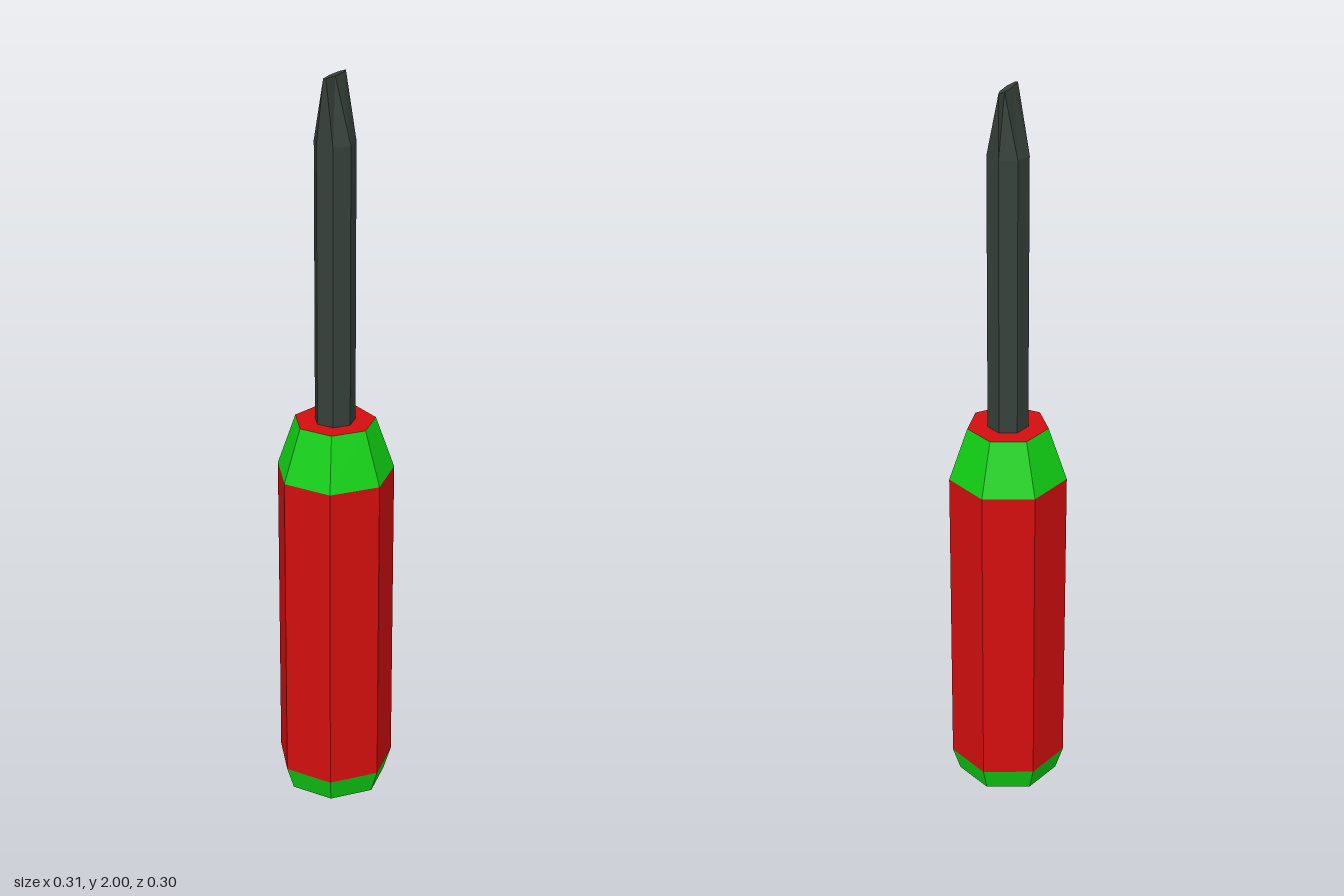
import * as THREE from 'three';

const SIDES = 7;

export function createModel() {
  const group = new THREE.Group();
  group.name = 'screwdriver';
  const material = (name, color) => {
    const m = new THREE.MeshStandardMaterial({ color, flatShading: true });
    m.name = name;
    return m;
  };
  const red = material('red grip', 0xd40e0e);
  const green = material('green trim', 0x10d014);
  const steel = material('dark steel', 0x36403a);

  const add = (name, geometry, mat) => {
    const mesh = new THREE.Mesh(geometry, mat);
    mesh.name = name;
    mesh.position.z = 0.007; // centres the odd-sided outline in depth
    group.add(mesh);
  };
  // Seven-sided section between two heights, with a corner at the back
  const section = (rBottom, rTop, y0, y1, open = true) =>
    new THREE.CylinderGeometry(rTop, rBottom, y1 - y0, SIDES, 1, open, Math.PI)
      .translate(0, (y0 + y1) / 2, 0);
  // Flat seven-sided end face, facing up or down
  const endFace = (r, y, up) =>
    new THREE.CircleGeometry(r, SIDES, Math.PI / 2)
      .rotateX(up ? -Math.PI / 2 : Math.PI / 2)
      .rotateY(up ? 0 : Math.PI)
      .translate(0, y, 0);

  // Handle
  add('handleGrip', section(0.159, 0.159, 0.065, 0.935), red);
  add('handleBaseBevel', section(0.138, 0.159, 0, 0.065), green);
  add('handleShoulder', section(0.159, 0.109, 0.935, 1.08), green);
  add('handleBottom', endFace(0.138, 0, false), red);
  add('handleTop', endFace(0.109, 1.08, true), red);

  // Shaft
  add('shaft', section(0.0547, 0.0547, 1.08, 1.83), steel);

  // Blade: the top ring is squeezed sideways into a narrow edge
  const blade = section(0.0547, 0.0547, 1.83, 2, false);
  const p = blade.attributes.position;
  for (let i = 0; i < p.count; i++) {
    if (p.getY(i) > 1.9) p.setX(i, p.getX(i) * 0.16);
  }
  blade.computeVertexNormals();
  add('bladeTip', blade, steel);

  return group;
}
